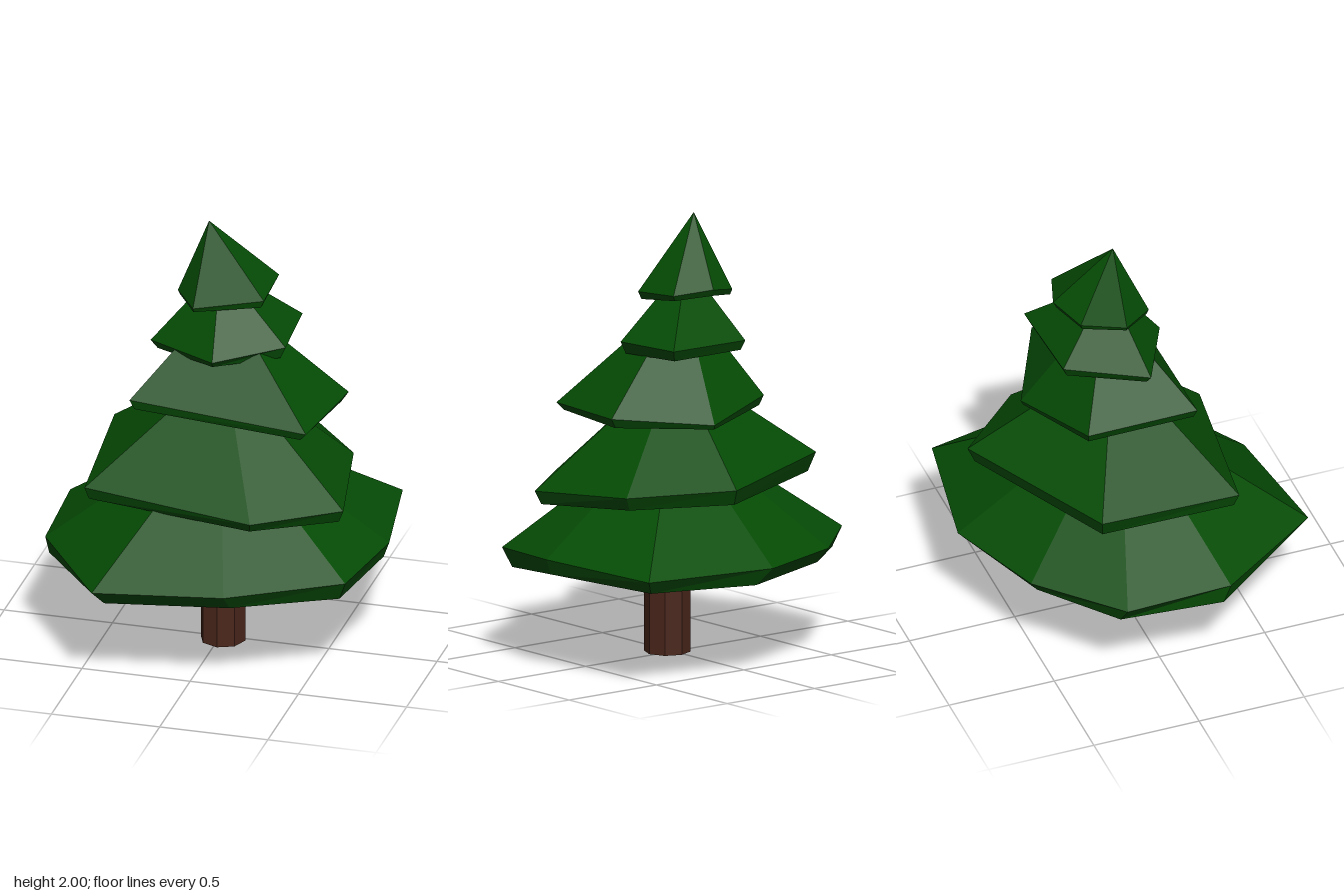
import * as THREE from 'three';

// Faceted skirt: sloping top, narrow rim band, thin-walled hollow underside.
// Rim and hem corners [x, y, z] run back -> left -> front -> right.
function tierGeometry(apex, rim, hem) {
  const inner = [apex[0], apex[1] - 0.04, apex[2]];
  const points = [];
  rim.forEach((u0, i) => {
    const j = (i + 1) % rim.length;
    const u1 = rim[j], l0 = hem[i], l1 = hem[j];
    points.push(apex, u1, u0);
    points.push(u0, u1, l1, u0, l1, l0);
    points.push(inner, l0, l1);
  });
  const geometry = new THREE.BufferGeometry();
  geometry.setAttribute('position', new THREE.Float32BufferAttribute(points.flat(), 3));
  geometry.computeVertexNormals();
  return geometry;
}

export function createModel() {
  const tree = new THREE.Group();
  tree.name = 'pineTree';

  const needles = new THREE.MeshStandardMaterial({ color: 0x054c05, flatShading: true });
  needles.name = 'needleGreen';
  const bark = new THREE.MeshStandardMaterial({ color: 0x4a271b, flatShading: true });
  bark.name = 'barkBrown';

  const addTier = (name, ...shape) => {
    const mesh = new THREE.Mesh(tierGeometry(...shape), needles);
    mesh.name = name;
    tree.add(mesh);
  };

  // Eight-sided trunk
  const trunk = new THREE.Mesh(new THREE.CylinderGeometry(0.103, 0.103, 0.45, 8), bark);
  trunk.name = 'trunk';
  trunk.position.set(0.017, 0.225, 0.02);
  tree.add(trunk);

  // Five stacked, uneven branch tiers
  addTier('bottomBranches', [0, 1.06, 0],
    [[0.04, 0.51, -0.755], [0.66, 0.51, -0.645], [0.765, 0.53, -0.05], [0.68, 0.505, 0.37], [0.2, 0.505, 0.665],
      [-0.385, 0.495, 0.75], [-0.74, 0.505, 0.25], [-0.765, 0.51, -0.25], [-0.42, 0.51, -0.58]],
    [[0.1, 0.435, -0.71], [0.62, 0.45, -0.61], [0.74, 0.46, -0.05], [0.645, 0.415, 0.34], [0.21, 0.43, 0.6],
      [-0.35, 0.415, 0.67], [-0.73, 0.415, 0.22], [-0.7, 0.425, -0.26], [-0.39, 0.445, -0.54]]);

  addTier('lowerBranches', [0.01, 1.33, -0.03],
    [[0.17, 0.865, -0.66], [0.525, 0.82, -0.32], [0.625, 0.78, 0.205], [0.27, 0.79, 0.48],
      [-0.525, 0.825, 0.37], [-0.575, 0.88, -0.3]],
    [[0.16, 0.795, -0.63], [0.495, 0.76, -0.305], [0.6, 0.72, 0.19], [0.26, 0.745, 0.45],
      [-0.51, 0.765, 0.35], [-0.54, 0.795, -0.285]]);

  addTier('middleBranches', [0, 1.65, -0.07],
    [[0.11, 1.115, -0.43], [0.53, 1.165, -0.22], [0.465, 1.155, 0.25], [-0.355, 1.215, 0.235], [-0.305, 1.17, -0.265]],
    [[0.105, 1.095, -0.42], [0.5, 1.12, -0.21], [0.435, 1.12, 0.235], [-0.335, 1.17, 0.225], [-0.285, 1.125, -0.255]]);

  addTier('upperBranches', [-0.02, 1.78, -0.07],
    [[0.28, 1.46, -0.35], [0.3, 1.45, 0], [0.015, 1.425, 0.195], [-0.315, 1.425, 0.03], [-0.15, 1.45, -0.325]],
    [[0.255, 1.41, -0.325], [0.275, 1.395, -0.005], [0.01, 1.395, 0.17], [-0.285, 1.385, 0.02], [-0.14, 1.405, -0.305]]);

  addTier('topBranches', [-0.07, 2, -0.06],
    [[0.02, 1.7, -0.31], [0.2, 1.685, -0.25], [0.2, 1.665, 0], [-0.1, 1.635, 0.1],
      [-0.21, 1.65, -0.045], [-0.145, 1.67, -0.24]],
    [[0.015, 1.67, -0.295], [0.185, 1.66, -0.24], [0.185, 1.63, -0.005], [-0.1, 1.615, 0.09],
      [-0.2, 1.63, -0.045], [-0.14, 1.645, -0.23]]);

  return tree;
}
